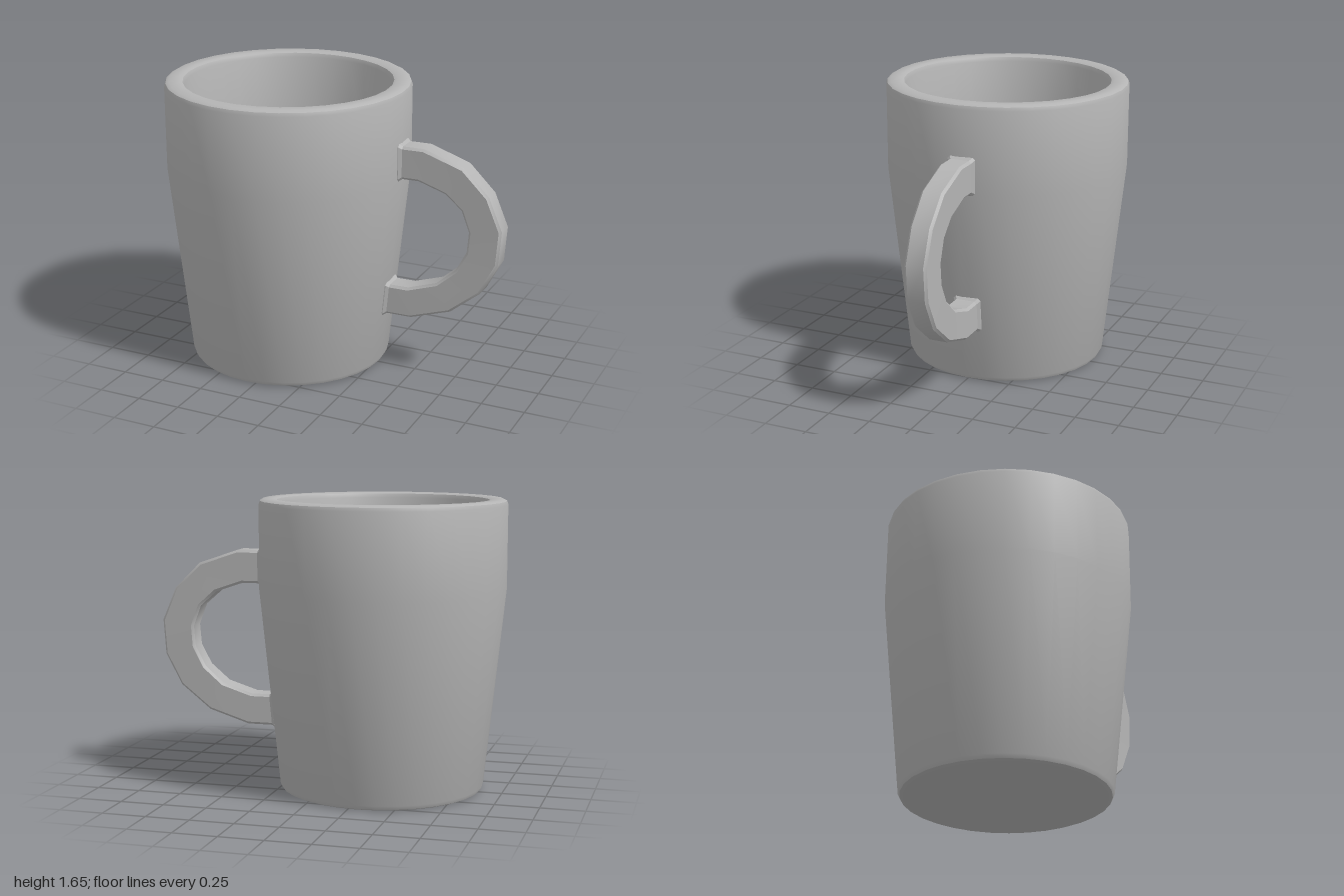
import * as THREE from 'three';
import { toCreasedNormals } from 'three/addons/utils/BufferGeometryUtils.js';

const glaze = new THREE.MeshStandardMaterial({ color: 0xb4b4b4 });
glaze.name = 'grey glaze';

// Hollow tapered cup with bevelled rim and foot
function makeCup() {
  const profile = [
    [0, 0], [0.555, 0], [0.573, 0.008], [0.584, 0.03],
    [0.7, 1.15], [0.7, 1.625], [0.693, 1.645], [0.675, 1.655],
    [0.615, 1.655], [0.597, 1.648], [0.587, 1.625],
    [0.587, 1.15], [0.46, 0.11], [0, 0.11],
  ].map(([r, y]) => new THREE.Vector2(r, y));
  const cup = new THREE.Mesh(toCreasedNormals(new THREE.LatheGeometry(profile, 32), 0.6), glaze);
  cup.name = 'cup';
  cup.position.x = -0.3;
  return cup;
}

// Faceted handle swept through bevelled rectangular sections
function makeHandle() {
  // Each row: outer x, y, inner x, y, and extra size where it meets the cup
  const rows = [
    [0.34, 1.35, 0.34, 1.16, 0.012], [0.398, 1.35, 0.398, 1.16, 0.012],
    [0.416, 1.35, 0.416, 1.16, 0], [0.54, 1.35, 0.51, 1.16, 0],
    [0.77, 1.27, 0.67, 1.105, 0], [0.92, 1.12, 0.765, 1.02, 0],
    [1.0, 0.93, 0.81, 0.9, 0], [0.985, 0.73, 0.8, 0.78, 0],
    [0.89, 0.55, 0.74, 0.665, 0], [0.715, 0.41, 0.63, 0.57, 0],
    [0.48, 0.335, 0.46, 0.515, 0], [0.333, 0.335, 0.35, 0.515, 0],
    [0.315, 0.335, 0.333, 0.515, 0.012], [0.26, 0.335, 0.27, 0.515, 0.012],
  ];
  const bevel = 0.014;
  const sides = 8;
  const positions = [];
  const index = [];

  rows.forEach(([ox, oy, ix, iy, grow], s) => {
    const outer = new THREE.Vector2(ox, oy);
    const inner = new THREE.Vector2(ix, iy);
    const up = outer.clone().sub(inner).normalize();
    const hi = outer.distanceTo(inner) + grow;
    const lo = -grow;
    const lean = Math.max(0, ox - 0.4);
    const front = 0.043 - lean * 0.03 + grow;
    const back = -0.094 - lean * 0.015 - grow;
    const ring = [
      [hi, back + bevel], [hi, front - bevel], [hi - bevel, front], [lo + bevel, front],
      [lo, front - bevel], [lo, back + bevel], [lo + bevel, back], [hi - bevel, back],
    ];
    for (const [d, z] of ring) positions.push(ix + up.x * d, iy + up.y * d, z);
    if (s === rows.length - 1) return;
    for (let k = 0; k < sides; k++) {
      const a = s * sides + k;
      const b = s * sides + (k + 1) % sides;
      index.push(a, b, b + sides, a, b + sides, a + sides);
    }
  });

  const geometry = new THREE.BufferGeometry();
  geometry.setAttribute('position', new THREE.Float32BufferAttribute(positions, 3));
  geometry.setIndex(index);
  const handle = new THREE.Mesh(toCreasedNormals(geometry, 0.55), glaze);
  handle.name = 'handle';
  return handle;
}

export function createModel() {
  const mug = new THREE.Group();
  mug.name = 'mug';
  mug.add(makeCup(), makeHandle());
  return mug;
}
